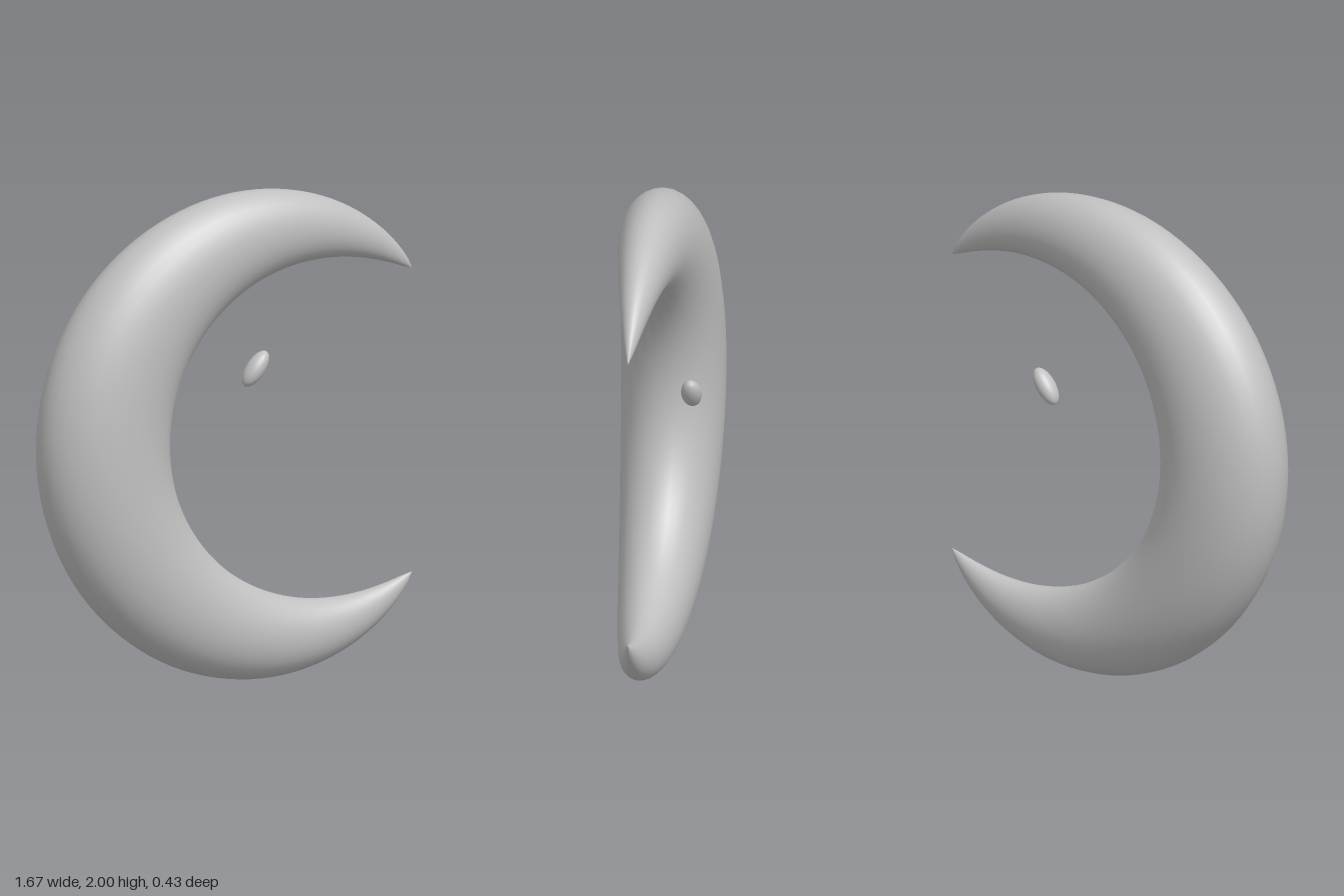
import * as THREE from 'three';

// Crescent: elliptical sections swept round an arc, swelling in the middle and tapering to points
function crescentGeometry({ centerX, centerY, radius, halfSpan, halfWidth, halfDepth }) {
  const steps = 96, sides = 32;
  const positions = [], indices = [];
  for (let i = 0; i <= steps; i++) {
    const u = (i / steps) * 2 - 1;
    const angle = Math.PI + u * halfSpan;
    const swell = Math.pow(Math.max(Math.cos(u * Math.PI / 2), 0), 0.8);
    for (let j = 0; j < sides; j++) {
      const phi = (j / sides) * Math.PI * 2;
      const r = radius + halfWidth * swell * Math.cos(phi);
      positions.push(
        centerX + r * Math.cos(angle),
        centerY + r * Math.sin(angle),
        halfDepth * swell * Math.sin(phi)
      );
    }
  }
  for (let i = 0; i < steps; i++) {
    for (let j = 0; j < sides; j++) {
      const k = (j + 1) % sides;
      const a = i * sides + j, b = a + sides;
      const d = i * sides + k, c = d + sides;
      // the rings at the two tips are single points
      if (i < steps - 1) indices.push(a, b, c);
      else indices.push(a, b, d);
      if (i > 0 && i < steps - 1) indices.push(a, c, d);
      else if (i === 0) indices.push(d, b, c);
    }
  }
  const geometry = new THREE.BufferGeometry();
  geometry.setAttribute('position', new THREE.Float32BufferAttribute(positions, 3));
  geometry.setIndex(indices);
  geometry.computeVertexNormals();
  return geometry;
}

export function createModel() {
  const group = new THREE.Group();
  group.name = 'crescentMoon';
  const grey = new THREE.MeshStandardMaterial({ color: 0xc0c0c0 });
  grey.name = 'light grey';

  // Moon body
  const crescent = new THREE.Mesh(crescentGeometry({
    centerX: 0.276, centerY: 1, radius: 0.831,
    halfSpan: 2.3, halfWidth: 0.282, halfDepth: 0.21
  }), grey);
  crescent.name = 'crescent';
  group.add(crescent);

  // Small tilted pebble floating behind the hollow
  const pebble = new THREE.Mesh(new THREE.SphereGeometry(1, 32, 20), grey);
  pebble.name = 'pebble';
  pebble.scale.set(0.083, 0.038, 0.042);
  pebble.rotation.z = 0.935;
  pebble.position.set(0.215, 1.23, -0.175);
  group.add(pebble);

  return group;
}
